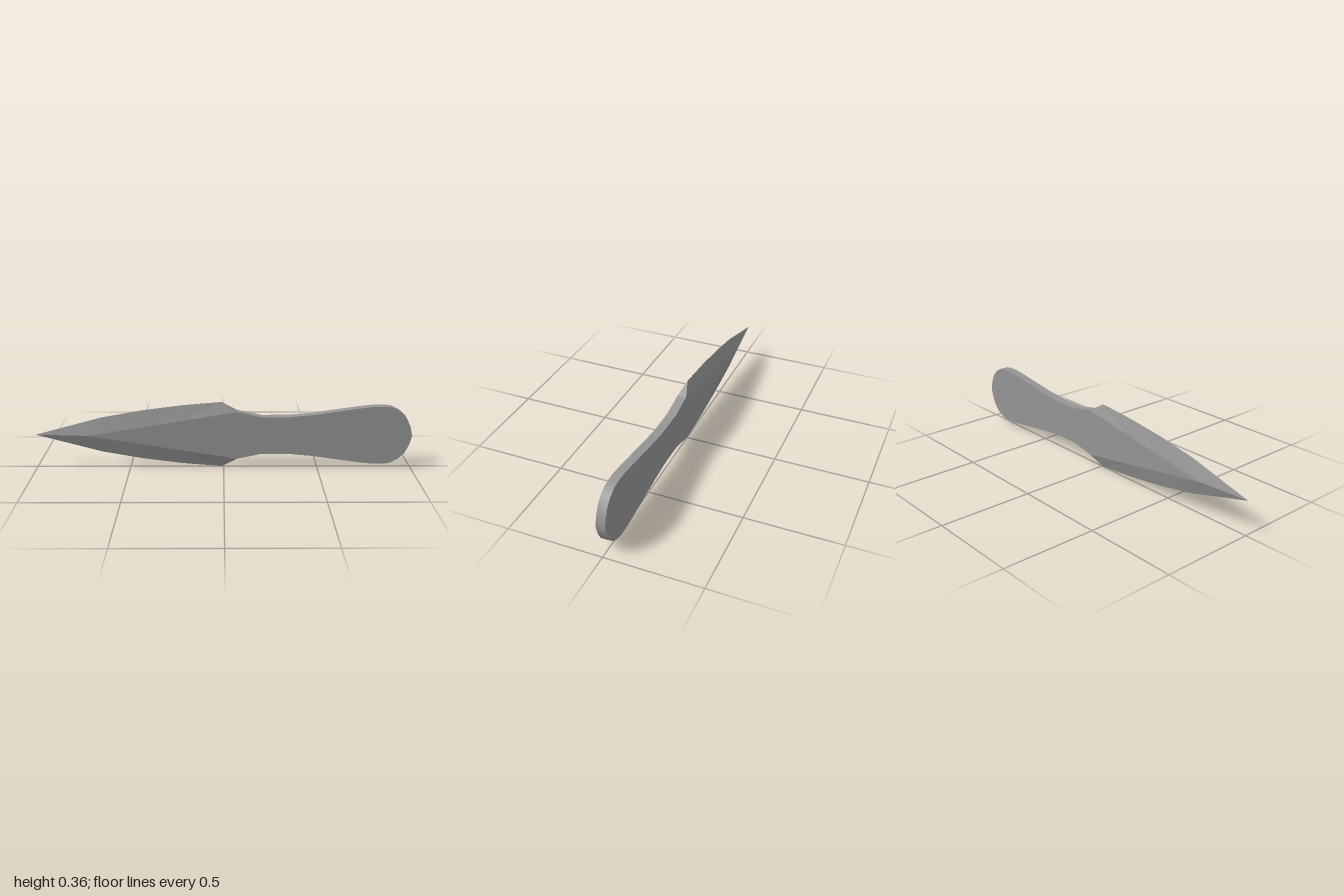
import * as THREE from 'three';
import { toCreasedNormals } from 'three/addons/utils/BufferGeometryUtils.js';

const T = 0.0235; // half thickness
const MID = 0.18; // height of the centre line

// Upper half of the cutting edge, tip to shoulder: [x, height above centre line]
const EDGE = [[-1, 0], [-0.65, 0.095], [-0.43, 0.135], [-0.22, 0.162], [-0.01, 0.18]];
const APEX = -0.72;
const NECK = [0.07, 0.13];
// Upper half of the grip outline after the neck
const GRIP = [[0.13, 0.117], [0.2, 0.102], [0.345, 0.102], [0.47, 0.114], [0.6, 0.133], [0.72, 0.15],
  [0.8, 0.159], [0.85, 0.159], [0.89, 0.153], [0.93, 0.132], [0.965, 0.098], [0.988, 0.05], [1, 0]];
// Holes: [x, radius]
const HOLES = [[0.08, 0.054], [0.29, 0.044], [0.476, 0.044], [0.66, 0.044], [0.87, 0.054]];

// Triangles between two rows of points
function strip(a, b, flip = false) {
  const out = [];
  const tri = (p, q, r) => {
    const t = flip ? [p, r, q] : [p, q, r];
    if (new THREE.Triangle(...t.map((v) => new THREE.Vector3(...v))).getArea() > 1e-9) out.push(...t.flat());
  };
  for (let i = 0; i < a.length - 1; i++) {
    tri(a[i], a[i + 1], b[i + 1]);
    tri(a[i], b[i + 1], b[i]);
  }
  return out;
}

function toGeometry(positions) {
  const g = new THREE.BufferGeometry();
  g.setAttribute('position', new THREE.Float32BufferAttribute(positions, 3));
  g.computeVertexNormals();
  return g;
}

// Wall through the full thickness along a path
function wall(path) {
  const row = (z) => path.map(([x, y]) => [x, y, z]);
  return toCreasedNormals(toGeometry(strip(row(T), row(-T))), 0.7);
}

export function createModel() {
  const group = new THREE.Group();
  const steel = new THREE.MeshStandardMaterial({ color: 0x969696 });
  const add = (name, geometry) => {
    const mesh = new THREE.Mesh(geometry, steel);
    mesh.name = name;
    group.add(mesh);
    return mesh;
  };

  // Grip outline, clockwise from upper neck to lower neck
  const upper = [NECK, ...GRIP];
  const outline = [
    ...upper.map(([x, h]) => [x, MID + h]),
    ...upper.slice(0, -1).reverse().map(([x, h]) => [x, MID - h]),
  ];
  const circles = HOLES.map(([cx, r]) => Array.from({ length: 33 }, (_, i) => {
    const a = (i % 32) / 32 * Math.PI * 2;
    return [cx + r * Math.cos(a), MID + r * Math.sin(a)];
  }));

  // Flat faces, running from the pommel to a point on the blade
  const vec = (p) => new THREE.Vector2(...p);
  const shape = new THREE.Shape([[APEX, MID], ...outline].map(vec));
  shape.holes = circles.map((c) => new THREE.Path(c.slice(0, -1).map(vec)));
  add('frontFace', new THREE.ShapeGeometry(shape).translate(0, 0, T));
  // Turned about the long axis; the outline is symmetric about the centre line
  add('backFace', new THREE.ShapeGeometry(shape).translate(0, -MID, 0)
    .rotateX(Math.PI).translate(0, MID, -T));

  // Rim and hole walls
  add('gripRim', wall(outline));
  circles.forEach((c, i) => add(`hole${i + 1}`, wall(c)));

  // Blade bevels, two per edge, and the slanted shoulders
  const ridgeHeight = (x) => NECK[1] * Math.max(0, x - APEX) / (NECK[0] - APEX);
  const ridge = [[APEX, 0], [APEX, 0], ...EDGE.slice(2).map(([x]) => [x, ridgeHeight(x)]), NECK];
  const edge = [...EDGE, EDGE[EDGE.length - 1]];
  for (const sy of [1, -1]) {
    const side = sy > 0 ? 'upper' : 'lower';
    const place = (row, z) => row.map(([x, h]) => [x, MID + sy * h, z]);
    for (const sz of [1, -1]) {
      add(`${side}${sz > 0 ? 'Front' : 'Back'}Bevel`,
        toGeometry(strip(place(ridge, sz * T), place(edge, 0), sy * sz < 0)));
    }
    const ends = [EDGE[EDGE.length - 1], NECK];
    const front = place(ends, T), back = place(ends, -T);
    front[0][2] = back[0][2] = 0;
    add(`${side}Shoulder`, toGeometry(strip(front, back, sy < 0)));
  }
  return group;
}
